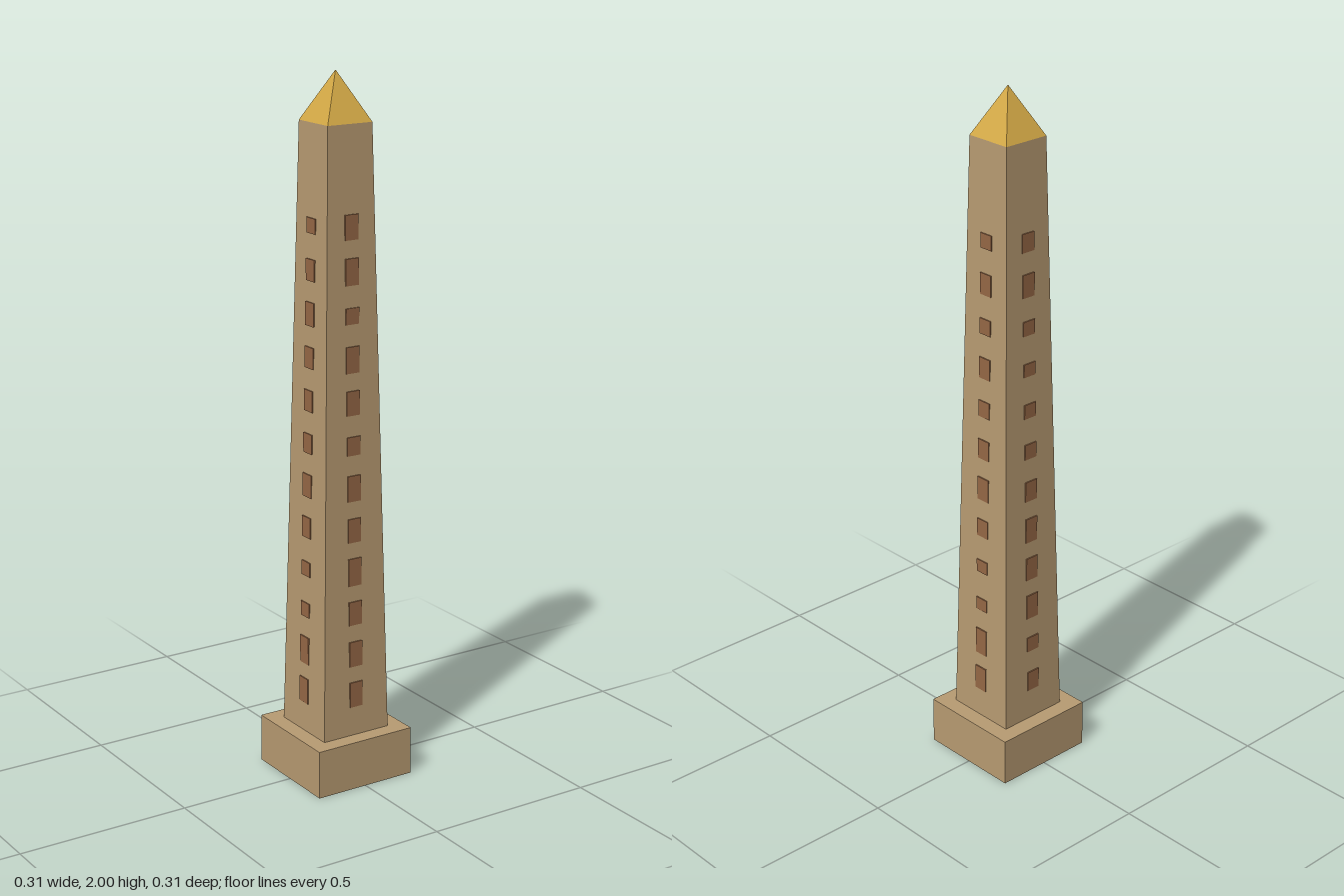
import * as THREE from 'three';

const material = (name, color) => {
  const m = new THREE.MeshStandardMaterial({ color, flatShading: true });
  m.name = name;
  return m;
};

export function createModel() {
  const stone = material('sandstone', 0xb89b72);
  const gold = material('gold', 0xd4a946);
  const rust = material('carvedBrown', 0x966846);

  const model = new THREE.Group();
  model.name = 'obelisk';

  const add = (parent, name, geometry, mat) => {
    const mesh = new THREE.Mesh(geometry, mat);
    mesh.name = name;
    parent.add(mesh);
    return mesh;
  };

  // Square tapered solid from half-widths, standing on y0
  const taper = (topHalf, bottomHalf, y0, y1) =>
    new THREE.CylinderGeometry(topHalf * Math.SQRT2, bottomHalf * Math.SQRT2, y1 - y0, 4)
      .rotateY(Math.PI / 4)
      .translate(0, (y0 + y1) / 2, 0);

  const baseTop = 0.14, shaftTop = 1.865;
  const bottomHalf = 0.1075, topHalf = 0.0705;

  // Plinth, shaft and pointed cap
  add(model, 'plinth', new THREE.BoxGeometry(0.31, baseTop, 0.31).translate(0, baseTop / 2, 0), stone);
  add(model, 'shaft', taper(topHalf, bottomHalf, baseTop, shaftTop), stone);
  add(model, 'cap', new THREE.ConeGeometry(topHalf * Math.SQRT2, 2 - shaftTop, 4)
    .rotateY(Math.PI / 4).translate(0, (2 + shaftTop) / 2, 0), gold);

  // Carved blocks up each face: heights from bottom to top
  const faces = [
    ['front', 0, [0.074, 0.074, 0.069, 0.08, 0.069, 0.074, 0.053, 0.069, 0.074, 0.045, 0.074, 0.069]],
    ['left', Math.PI / 2, [0.074, 0.08, 0.038, 0.038, 0.053, 0.069, 0.058, 0.048, 0.061, 0.045, 0.061, 0.042]],
    ['back', Math.PI, [0.06, 0.045, 0.074, 0.069, 0.074, 0.06, 0.045, 0.042, 0.038, 0.042, 0.066, 0.053]],
    ['right', -Math.PI / 2, [0.074, 0.08, 0.042, 0.042, 0.06, 0.066, 0.056, 0.06, 0.06, 0.066, 0.06, 0.042]],
  ];
  for (const [side, angle, heights] of faces) {
    const column = new THREE.Group();
    column.name = `${side}Carvings`;
    column.rotation.y = angle;
    heights.forEach((height, i) => {
      const y = 0.262 + i * 0.1208;
      const surface = THREE.MathUtils.mapLinear(y, baseTop, shaftTop, bottomHalf, topHalf);
      const block = add(column, 'carving', new THREE.BoxGeometry(0.042, height, 0.008), rust);
      block.position.set(0, y, surface - 0.001);
    });
    model.add(column);
  }
  return model;
}
